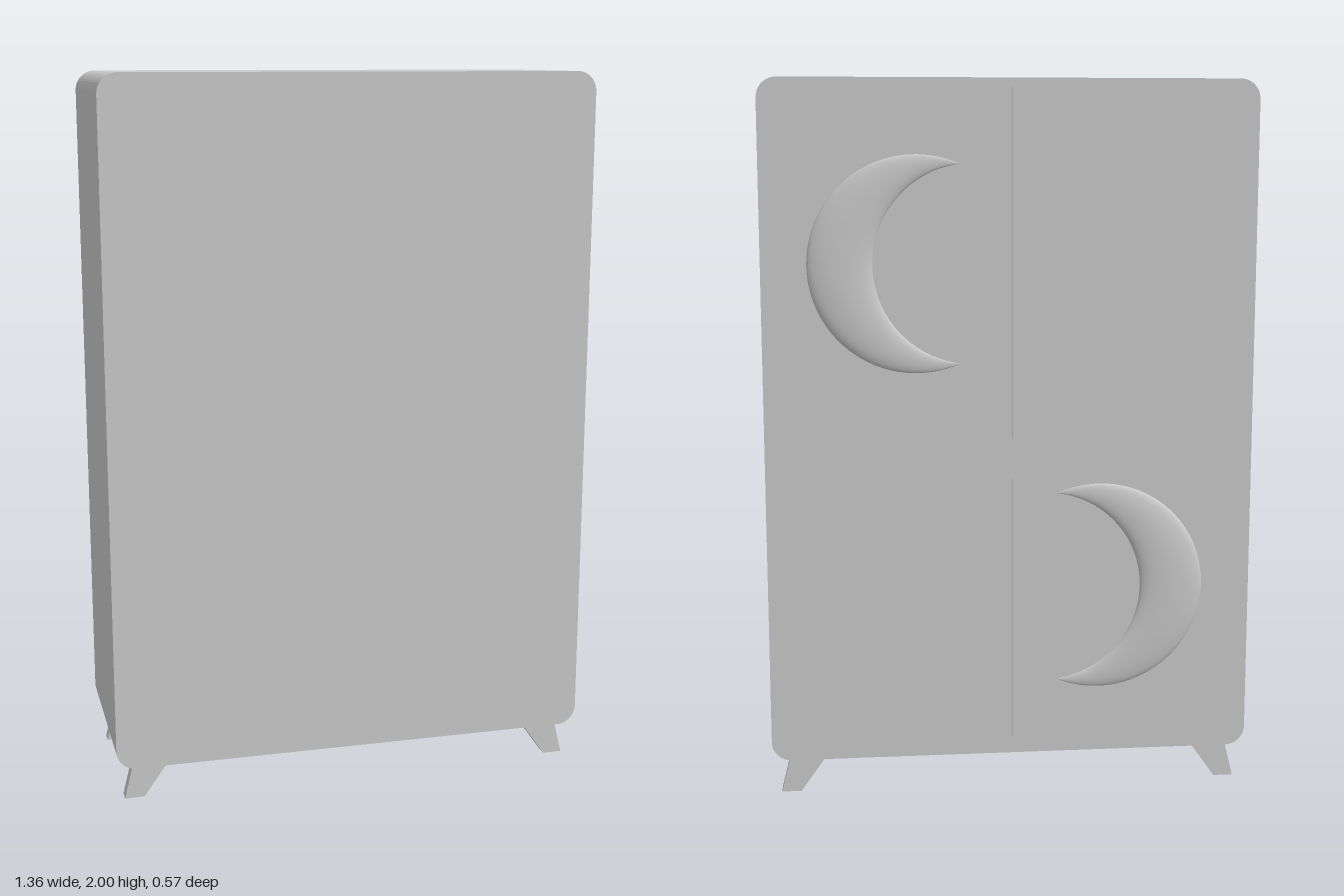
import * as THREE from 'three';

const material = new THREE.MeshStandardMaterial({ color: 0xcccccc });

function add(parent, geometry, name, x = 0, y = 0, z = 0) {
  const mesh = new THREE.Mesh(geometry, material);
  mesh.name = name;
  mesh.position.set(x, y, z);
  parent.add(mesh);
  return mesh;
}

// Cabinet block with rounded upright corners, extruded along z
function cabinetGeometry(w, y0, y1, depth, r) {
  const s = new THREE.Shape();
  s.absarc(w - r, y1 - r, r, 0, Math.PI / 2);
  s.absarc(-w + r, y1 - r, r, Math.PI / 2, Math.PI);
  s.absarc(-w + r, y0 + r, r, Math.PI, Math.PI * 1.5);
  s.absarc(w - r, y0 + r, r, Math.PI * 1.5, Math.PI * 2);
  return new THREE.ExtrudeGeometry(s, { depth, bevelEnabled: false, curveSegments: 6 });
}

// Domed crescent bulging to +x and -z; swept between an outer and an inner arc
function crescentGeometry(side) {
  const R = 0.295, r = 0.272, innerX = -0.154;
  const tipX = -0.122, tipY = Math.sqrt(R * R - tipX * tipX);
  const a = Math.atan2(tipY, tipX), b = Math.atan2(tipY, tipX - innerX);
  const nu = 48, nv = 16, pos = [], idx = [];
  for (let i = 0; i <= nu; i++) {
    const t = (i / nu) * 2 - 1;
    const ox = R * Math.cos(a * t), oy = R * Math.sin(a * t);
    const ix = innerX + r * Math.cos(b * t), iy = r * Math.sin(b * t);
    const height = 0.021 * Math.hypot(ox - ix, oy - iy) / (R - r - innerX);
    for (let j = 0; j <= nv; j++) {
      const p = (j / nv) * Math.PI, k = (1 - Math.cos(p)) / 2;
      pos.push(side * (ix + (ox - ix) * k), iy + (oy - iy) * k, -height * Math.sin(p));
    }
  }
  for (let i = 0; i < nu; i++) {
    for (let j = 0; j < nv; j++) {
      const p = i * (nv + 1) + j, q = p + nv + 1;
      if (side > 0) idx.push(p, q, p + 1, p + 1, q, q + 1);
      else idx.push(p, p + 1, q, p + 1, q + 1, q);
    }
  }
  const g = new THREE.BufferGeometry();
  g.setAttribute('position', new THREE.Float32BufferAttribute(pos, 3));
  g.setIndex(idx);
  g.computeVertexNormals();
  return g;
}

// Splayed tapering leg, thin in z
function legGeometry(side) {
  const s = new THREE.Shape([[0.6, 0], [0.655, 0], [0.628, 0.11], [0.522, 0.11]]
    .map(([x, y]) => new THREE.Vector2(side * x, y)));
  return new THREE.ExtrudeGeometry(s, { depth: 0.036, bevelEnabled: false });
}

export function createModel() {
  const model = new THREE.Group();
  model.name = 'wardrobe';

  add(model, cabinetGeometry(0.68, 0.105, 2, 0.522, 0.055), 'cabinet', 0, 0, -0.238);

  for (const side of [1, -1]) {
    const label = side > 0 ? 'left' : 'right';

    // Door panel with a hairline gap in the middle
    const door = new THREE.Group();
    door.name = label + 'Door';
    model.add(door);
    add(door, new THREE.BoxGeometry(0.623, 1.817, 0.02), label + 'DoorPanel', side * 0.3135, 1.066, -0.24);

    // Crescent relief: high on one door, low on the other
    add(door, crescentGeometry(side), label + 'Crescent',
      side > 0 ? 0.261 : -0.246, side > 0 ? 1.503 : 0.595, -0.25);

    // Knob: stem and wider head
    const knob = new THREE.Group();
    knob.name = label + 'Knob';
    knob.position.set(side * 0.121, 1.04, -0.25);
    knob.rotation.x = -Math.PI / 2;
    door.add(knob);
    add(knob, new THREE.CylinderGeometry(0.012, 0.012, 0.03, 20), 'knobStem', 0, 0.012, 0);
    add(knob, new THREE.CylinderGeometry(0.02, 0.018, 0.011, 20), 'knobHead', 0, 0.0295, 0);

    // Front and back legs
    add(model, legGeometry(side), label + 'FrontLeg', 0, 0, 0.209);
    add(model, legGeometry(side), label + 'BackLeg', 0, 0, -0.207);
  }
  return model;
}
